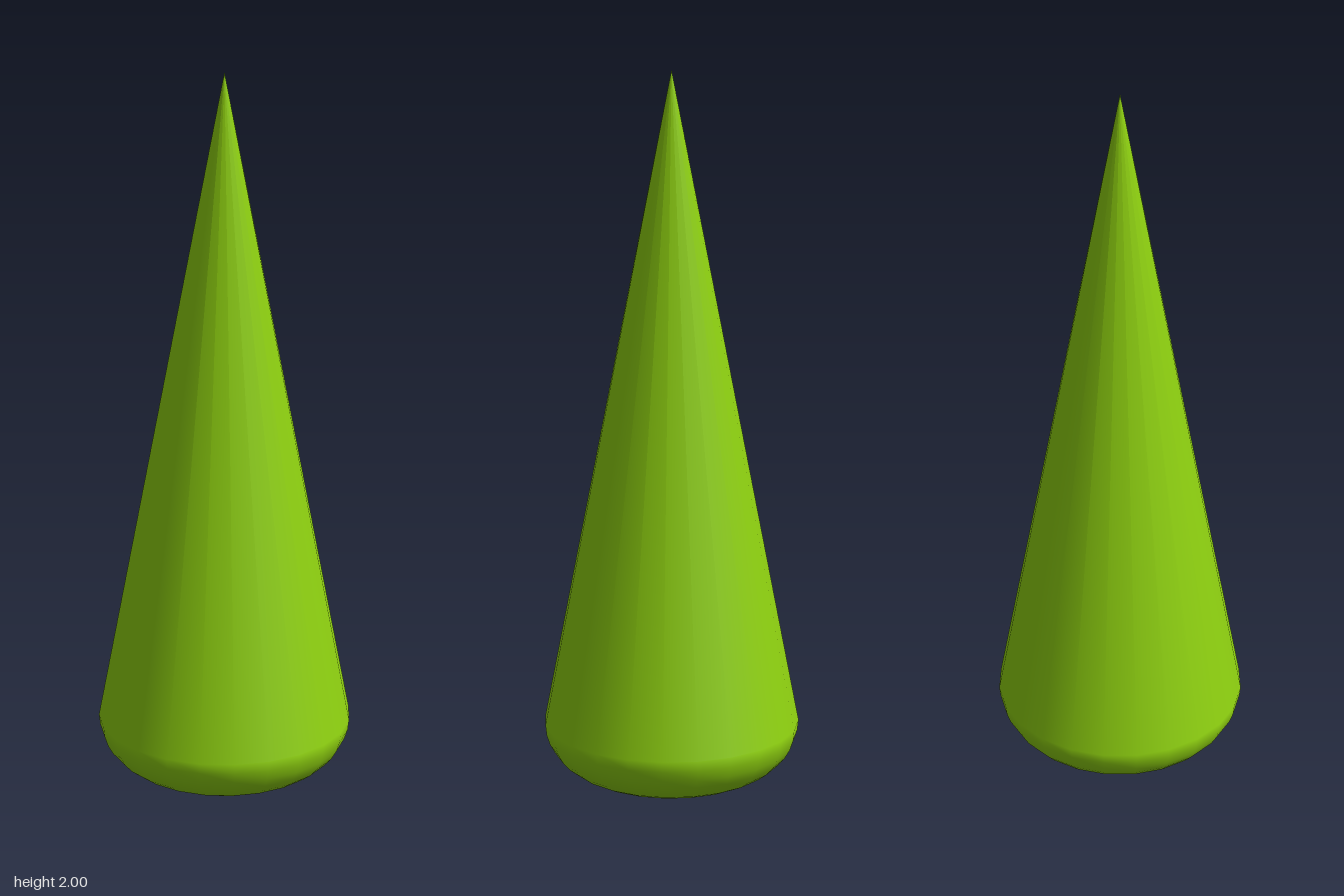
import * as THREE from 'three';

const SIDES = 24;

function addPart(group, name, geometry, color) {
  const mesh = new THREE.Mesh(geometry, new THREE.MeshStandardMaterial({ color }));
  mesh.name = name;
  group.add(mesh);
  return mesh;
}

export function createModel() {
  const tree = new THREE.Group();
  tree.name = 'coniferTree';

  // Foliage: flat underside, rounded lower rim, straight sides to a sharp tip
  const flatRadius = 0.2, rimRadius = 0.357, bottom = 0.065, rimHeight = 0.215;
  const profile = [new THREE.Vector2(0, bottom)];
  const steps = 8;
  for (let i = 0; i <= steps; i++) {
    const a = (i / steps) * Math.PI / 2;
    profile.push(new THREE.Vector2(
      flatRadius + (rimRadius - flatRadius) * Math.sin(a),
      rimHeight - (rimHeight - bottom) * Math.cos(a)
    ));
  }
  profile.push(new THREE.Vector2(0, 2));
  addPart(tree, 'foliage', new THREE.LatheGeometry(profile, SIDES), 0x8ed010);

  // Trunk: short thin post, sunk slightly into the foliage
  const trunkHeight = 0.1;
  const trunk = addPart(tree, 'trunk',
    new THREE.CylinderGeometry(0.02, 0.02, trunkHeight, SIDES), 0x8a5a14);
  trunk.position.y = trunkHeight / 2;

  return tree;
}
